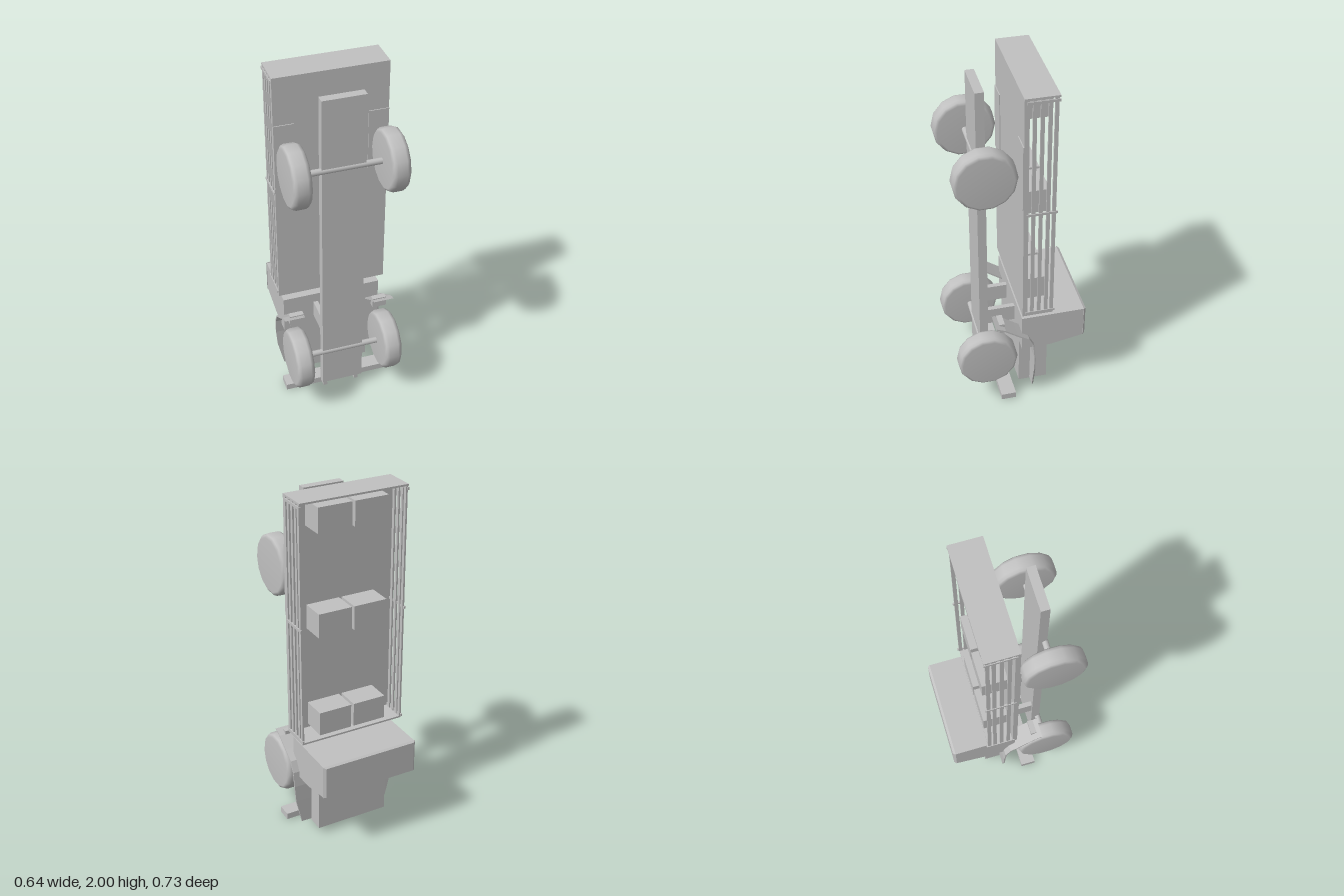
import * as THREE from 'three';

export function createModel() {
  const model = new THREE.Group();
  const grey = new THREE.MeshStandardMaterial({ color: 0xc0c0c0 });
  grey.name = 'plain grey';
  grey.side = THREE.DoubleSide;

  function add(name, geometry, parent = model) {
    const mesh = new THREE.Mesh(geometry, grey);
    mesh.name = name;
    parent.add(mesh);
    return mesh;
  }
  // Box given by its limits on each axis
  function box(name, x0, x1, y0, y1, z0, z1) {
    const m = add(name, new THREE.BoxGeometry(x1 - x0, y1 - y0, z1 - z0));
    m.position.set((x0 + x1) / 2, (y0 + y1) / 2, (z0 + z1) / 2);
    return m;
  }
  // The same box on both sides
  function pair(name, x0, x1, y0, y1, z0, z1) {
    box(name, x0, x1, y0, y1, z0, z1);
    box(name, -x1, -x0, y0, y1, z0, z1);
  }

  // Chassis, bumper and brackets
  box('chassis', -0.118, 0.118, 0.08, 1.95, 0.157, 0.205);
  box('bumper', -0.315, 0.315, 0.005, 0.042, 0.041, 0.125);
  box('bumperEdge', -0.31, 0.31, 0, 0.005, 0.048, 0.118);
  pair('bumperBracket', 0.083, 0.106, 0.025, 0.11, 0.113, 0.175);
  pair('cabMount', 0.081, 0.108, 0.425, 0.525, -0.01, 0.16);

  // Wheels and axles
  const tyreProfile = [[0, -0.051], [0.148, -0.051], [0.163, -0.042], [0.17, -0.026],
    [0.17, 0.026], [0.163, 0.042], [0.148, 0.051], [0, 0.051]]
    .map(([r, h]) => new THREE.Vector2(r, h));
  const tyre = new THREE.LatheGeometry(tyreProfile, 14);
  for (const y of [0.313, 1.543]) {
    const axle = add('axle', new THREE.CylinderGeometry(0.017, 0.017, 0.44, 12));
    axle.rotation.z = Math.PI / 2;
    axle.position.set(0, y, 0.195);
    for (const s of [-1, 1]) {
      const wheel = add('wheel', tyre);
      wheel.rotation.z = Math.PI / 2;
      wheel.position.set(s * 0.258, y, 0.195);
    }
  }

  // Cab: side profile in z and y, extruded across x
  const cabShape = new THREE.Shape(
    [[0, 0.355], [0.165, 0.355], [0.357, 0.39], [0.357, 0.582], [0, 0.582]]
      .map(([z, y]) => new THREE.Vector2(z, y)));
  const cab = new THREE.ExtrudeGeometry(cabShape, { depth: 0.568, bevelEnabled: false });
  cab.rotateY(Math.PI / 2);
  cab.scale(1, 1, 1);
  cab.translate(-0.284, 0, 0);
  add('cab', cab);

  // Bevelled roof panel on the back of the cab
  const roof = new THREE.BoxGeometry(0.576, 0.196, 0.013);
  const p = roof.attributes.position;
  for (let i = 0; i < p.count; i++) {
    if (p.getZ(i) < 0) p.setXY(i, p.getX(i) * 0.95, p.getY(i) * 0.93);
  }
  roof.computeVertexNormals();
  add('roofPanel', roof).position.set(0, 0.487, -0.3615);

  box('hood', -0.215, 0.215, 0.04, 0.356, -0.165, 0);

  // Fenders: swept sheets from [z, y, inner x, outer x] sections
  const sections = [[0.147, 0.567, 0.205, 0.32], [0.1, 0.545, 0.205, 0.32],
    [0.03, 0.495, 0.205, 0.32], [-0.035, 0.45, 0.205, 0.32], [-0.066, 0.39, 0.205, 0.32],
    [-0.074, 0.3, 0.205, 0.318], [-0.074, 0.2, 0.205, 0.31], [-0.072, 0.05, 0.205, 0.275]];
  for (const s of [-1, 1]) {
    const verts = [], index = [];
    const t = 0.008;
    sections.forEach(([z, y, a, b], i) => {
      verts.push(s * a, y, z, s * b, y, z, s * b, y - t / 2, z + t, s * a, y - t / 2, z + t);
      if (i === 0) return;
      for (let k = 0; k < 4; k++) {
        const q = 4 * (i - 1) + k, r = 4 * (i - 1) + (k + 1) % 4;
        if (s > 0) index.push(q, q + 4, r, r, q + 4, r + 4);
        else index.push(q, r, q + 4, r, r + 4, q + 4);
      }
    });
    const g = new THREE.BufferGeometry();
    g.setAttribute('position', new THREE.Float32BufferAttribute(verts, 3));
    g.setIndex(index);
    const flat = g.toNonIndexed();
    flat.computeVertexNormals();
    add('fender', flat);
  }
  pair('headlamp', 0.205, 0.285, 0.505, 0.565, 0.098, 0.13);

  // Cargo bed
  box('bedFloor', -0.31, 0.31, 0.625, 2, -0.022, 0.004);
  box('tailBoard', -0.31, 0.31, 1.99, 2, -0.175, -0.022);
  box('headBoard', -0.31, 0.31, 0.625, 0.635, -0.165, -0.022);
  pair('wheelArchPlate', 0.2, 0.31, 1.35, 1.73, 0.004, 0.009);

  // Side rails and the pins that hold them
  for (const z of [-0.048, -0.087, -0.126, -0.157]) {
    pair('sideRail', 0.3, 0.31, 0.635, 1.99, z - 0.01, z + 0.01);
  }
  for (const y of [0.645, 1.312, 1.975]) {
    pair('railPost', 0.304, 0.314, y - 0.007, y + 0.007, -0.175, -0.01);
  }

  // Load boxes, two per row
  for (const y of [0.655, 1.243, 1.82]) {
    pair('loadBox', 0.008, 0.202, y, y + 0.138, -0.162, -0.022);
  }
  return model;
}
